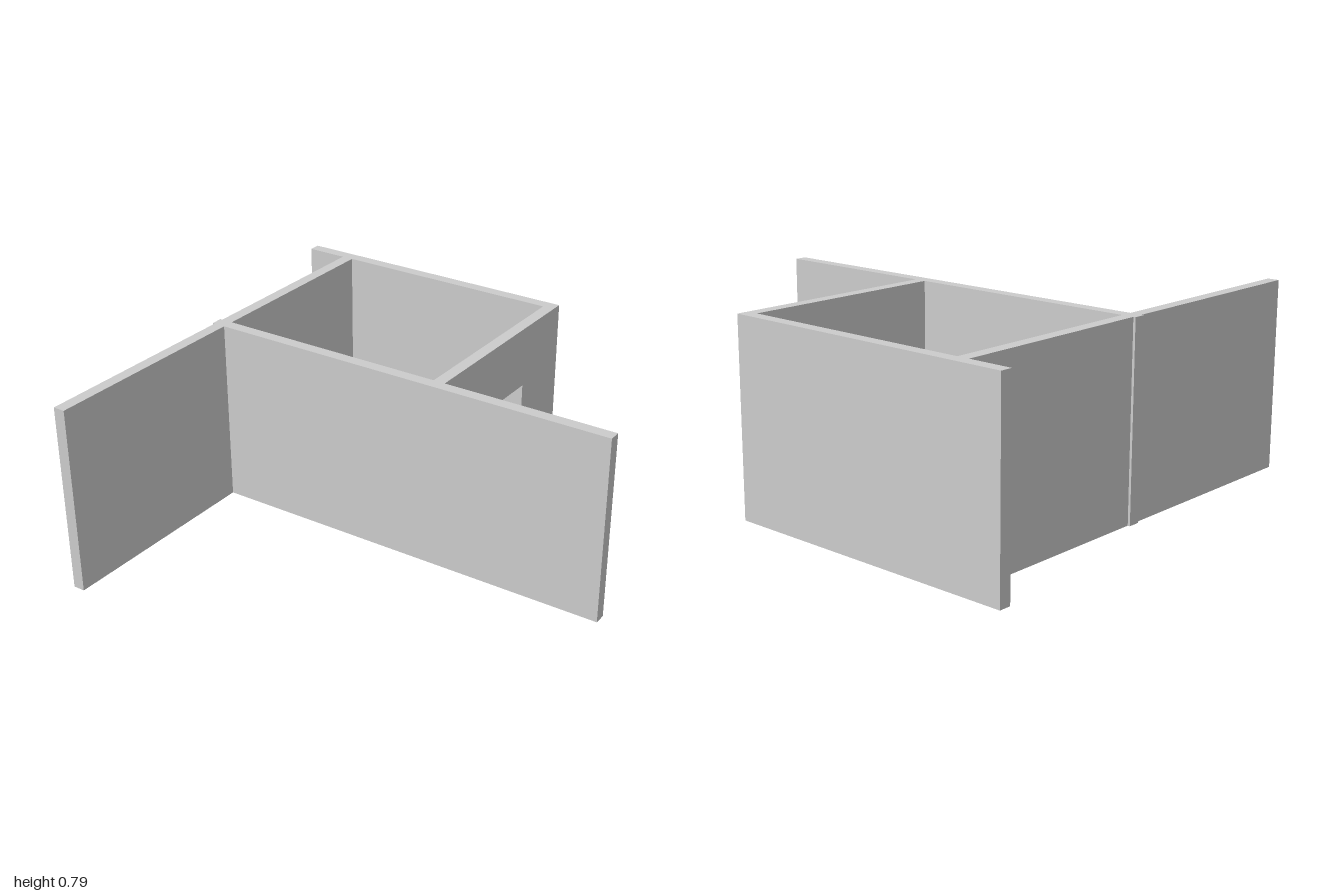
import * as THREE from 'three';

const HEIGHT = 0.79;
const DOOR_HEIGHT = 0.53;

export function createModel() {
  const model = new THREE.Group();
  const material = new THREE.MeshStandardMaterial({ color: 0xcccccc, flatShading: true });

  // Full-height wall filling a rectangle of the floor plan
  function addWall(name, x0, x1, z0, z1) {
    const wall = new THREE.Mesh(new THREE.BoxGeometry(x1 - x0, HEIGHT, z1 - z0), material);
    wall.position.set((x0 + x1) / 2, HEIGHT / 2, (z0 + z1) / 2);
    wall.name = name;
    model.add(wall);
  }

  addWall('backWall', -1, 0.27, -0.95, -0.9);
  addWall('longSideWall', -0.82, -0.77, -0.9, 0.95);
  addWall('middleWall', -0.77, 1, -0.03, 0.02);
  // End of the middle wall showing through the long side wall
  addWall('middleWallEnd', -0.83, -0.82, -0.03, 0.02);

  // Wall with a doorway open at the floor, outlined along -z and extruded along x
  const outline = new THREE.Shape([
    [0.03, 0], [0.41, 0], [0.41, DOOR_HEIGHT], [0.655, DOOR_HEIGHT],
    [0.655, 0], [0.9, 0], [0.9, HEIGHT], [0.03, HEIGHT],
  ].map(([s, y]) => new THREE.Vector2(s, y)));
  const doorWall = new THREE.Mesh(
    new THREE.ExtrudeGeometry(outline, { depth: 0.05, bevelEnabled: false }), material);
  doorWall.rotation.y = Math.PI / 2;
  doorWall.position.x = 0.22;
  doorWall.name = 'doorwayWall';
  model.add(doorWall);

  return model;
}
